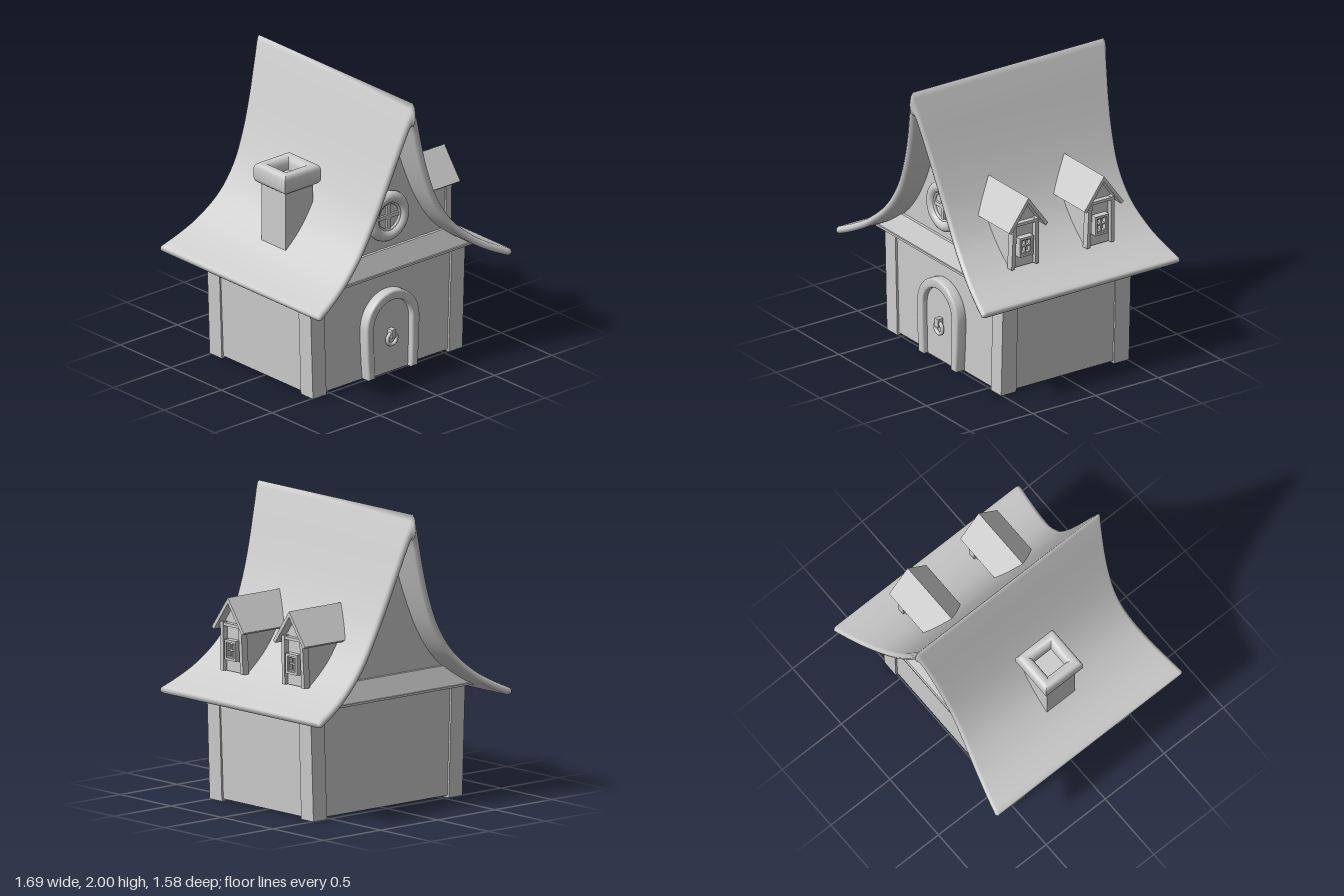
import * as THREE from 'three';
import { toCreasedNormals } from 'three/addons/utils/BufferGeometryUtils.js';

const material = new THREE.MeshStandardMaterial({ color: 0xcccccc, side: THREE.DoubleSide });

function add(parent, name, geometry, x = 0, y = 0, z = 0) {
  const mesh = new THREE.Mesh(geometry, material);
  mesh.name = name;
  mesh.position.set(x, y, z);
  parent.add(mesh);
  return mesh;
}
const box = (w, h, d) => new THREE.BoxGeometry(w, h, d);

// Box whose vertices are moved by a rule, keeping flat faces
function warpedBox(w, h, d, rule) {
  const g = box(w, h, d), p = g.attributes.position, v = new THREE.Vector3();
  for (let i = 0; i < p.count; i++) {
    v.fromBufferAttribute(p, i);
    rule(v);
    p.setXYZ(i, v.x, v.y, v.z);
  }
  g.computeVertexNormals();
  return g;
}
const extrude = (shape, depth, bevel = 0) => toCreasedNormals(new THREE.ExtrudeGeometry(shape, {
  depth, curveSegments: 24, bevelEnabled: bevel > 0, bevelSize: bevel, bevelOffset: -bevel,
  bevelThickness: bevel, bevelSegments: 3,
}), 0.6);
const polygon = (pts) => new THREE.Shape(pts.map(([x, y]) => new THREE.Vector2(x, y)));

// Half roof line from ridge to eave: x, y and half length in z
const roofCurve = new THREE.CatmullRomCurve3([
  [0, 2, 0.785], [0.06, 1.83, 0.757], [0.13, 1.62, 0.725], [0.21, 1.4, 0.7], [0.3, 1.2, 0.688],
  [0.42, 1.02, 0.7], [0.58, 0.875, 0.733], [0.72, 0.79, 0.765], [0.84, 0.733, 0.79],
].map((p) => new THREE.Vector3(...p)));
const THICK = 0.05, STEPS = 32;

function roofStations() {
  const half = [];
  for (let i = 0; i <= STEPS; i++) {
    const p = roofCurve.getPoint(i / STEPS), t = roofCurve.getTangent(i / STEPS);
    const len = Math.hypot(t.x, t.y), tx = t.x / len, ty = t.y / len;
    let ix = p.x + ty * THICK, iy = p.y - tx * THICK;
    if (ix <= 0) { ix = 0; iy = 1.835; }
    half.push({ x: p.x, y: p.y, ix, iy, z: p.z, s: 1 });
    if (i === STEPS) {
      // Rounded eave
      for (const [e, s] of [[0.01, 0.75], [0.015, 0.35]]) {
        half.push({ x: p.x + tx * e, y: p.y + ty * e, ix: ix + tx * e, iy: iy + ty * e, z: p.z - e * 0.5, s });
      }
    }
  }
  return half;
}

// Sweep a slab with rounded rims from one eave over the ridge to the other
function roofGeometry(half) {
  const left = half.slice(1).reverse().map((q) => ({ ...q, x: -q.x, ix: -q.ix }));
  const stations = [...left, ...half];
  const rim = [[0.025, 0], [0.008, 0.15], [0, 0.5], [0.008, 0.85], [0.025, 1]];
  const ring = [...rim.map(([r, w]) => [r, w, 1]), ...[...rim].reverse().map(([r, w]) => [r, w, -1])];
  // Start on the outer face at -z
  ring.unshift(ring.pop());
  const pos = [], index = [], n = ring.length;
  for (const q of stations) {
    for (const [r, w, side] of ring) {
      const k = 0.5 + (w - 0.5) * q.s;
      pos.push(q.x + (q.ix - q.x) * k, q.y + (q.iy - q.y) * k, side * (q.z - r));
    }
  }
  const last = (stations.length - 1) * n;
  for (let i = 0; i < stations.length - 1; i++) {
    for (let k = 0; k < n; k++) {
      const a = i * n + k, b = i * n + ((k + 1) % n);
      index.push(a, b, a + n, b, b + n, a + n);
    }
  }
  for (let k = 1; k < n - 1; k++) index.push(last, last + k, last + k + 1, 0, k + 1, k);
  const g = new THREE.BufferGeometry();
  g.setAttribute('position', new THREE.Float32BufferAttribute(pos, 3));
  g.setIndex(index);
  g.computeVertexNormals();
  return g;
}

function archPath(r, foot) {
  const s = new THREE.Shape();
  s.moveTo(-foot, 0.02);
  s.quadraticCurveTo(-r, 0.2, -r, 0.375);
  s.absarc(0, 0.375, r, Math.PI, 0, true);
  s.quadraticCurveTo(r, 0.2, foot, 0.02);
  return s;
}

function createDoor() {
  const door = new THREE.Group();
  door.name = 'door';
  const outer = archPath(0.23, 0.212).getPoints(24), inner = archPath(0.165, 0.157).getPoints(24);
  add(door, 'doorFrame', extrude(new THREE.Shape([...outer, ...inner.reverse()]), 0.056, 0.012), 0, 0, 0.502);
  add(door, 'doorPanel', extrude(archPath(0.17, 0.16), 0.05), 0, 0, 0.48);
  add(door, 'doorKnocker', new THREE.TorusGeometry(0.04, 0.013, 12, 32), 0, 0.26, 0.552);
  add(door, 'knockerMount', box(0.035, 0.06, 0.045), 0, 0.3, 0.55);
  return door;
}

function createRoundWindow() {
  const win = new THREE.Group();
  win.name = 'roundWindow';
  win.position.set(0, 1.12, 0.5);
  add(win, 'windowRing', new THREE.TorusGeometry(0.134, 0.04, 16, 48), 0, 0, 0.01);
  add(win, 'innerRing', new THREE.TorusGeometry(0.096, 0.01, 8, 48), 0, 0, 0.02);
  add(win, 'glass', new THREE.CylinderGeometry(0.11, 0.11, 0.01, 40).rotateX(Math.PI / 2), 0, 0, 0.004);
  add(win, 'verticalBar', box(0.026, 0.19, 0.025), 0, 0, 0.012);
  add(win, 'horizontalBar', box(0.19, 0.026, 0.025), 0, 0, 0.012);
  return win;
}

function createDormer(z) {
  const dormer = new THREE.Group();
  dormer.name = 'dormer';
  dormer.position.z = z;
  const alongX = (pts, depth) => extrude(polygon(pts), depth).rotateY(Math.PI / 2);
  add(dormer, 'dormerWalls', alongX([[-0.095, 0.87], [0.095, 0.87], [0.095, 1.22], [0, 1.345], [-0.095, 1.22]], 0.41), 0.2);
  add(dormer, 'dormerRoof', alongX(
    [[-0.157, 1.16], [0, 1.375], [0.157, 1.16], [0.137, 1.145], [0, 1.337], [-0.137, 1.145]], 0.475), 0.2);
  for (const s of [-1, 1]) {
    add(dormer, 'dormerPost', warpedBox(0.05, 0.33, 0.028, (v) => {
      if (v.y < 0) { v.z += s * 0.008; v.x -= 0.012; }
    }), 0.625, 1.035, s * 0.088);
    // Window casing and inner sash
    add(dormer, 'casingSide', box(0.05, 0.135, 0.016), 0.63, 1.02, s * 0.047);
    add(dormer, 'casingRail', box(0.05, 0.016, 0.11), 0.63, 1.02 + s * 0.06, 0);
    add(dormer, 'sashSide', box(0.03, 0.1, 0.008), 0.63, 1.02, s * 0.035);
    add(dormer, 'sashRail', box(0.03, 0.008, 0.08), 0.63, 1.02 + s * 0.046, 0);
  }
  add(dormer, 'dormerLintel', box(0.04, 0.02, 0.19), 0.625, 1.185, 0);
  add(dormer, 'mullion', box(0.03, 0.11, 0.01), 0.625, 1.02, 0);
  add(dormer, 'crossBar', box(0.03, 0.01, 0.08), 0.625, 1.02, 0);
  return dormer;
}

function createChimney() {
  const chimney = new THREE.Group();
  chimney.name = 'chimney';
  chimney.position.set(-0.425, 0, 0);
  add(chimney, 'chimneyStack', box(0.24, 0.47, 0.24), 0, 1.085, 0);
  // Square cap: rounded profile turned in four sides
  const profile = [[0, 1.36], [0.075, 1.36], [0.075, 1.405], [0.082, 1.43], [0.1, 1.446], [0.12, 1.45], [0.14, 1.445],
    [0.151, 1.434], [0.156, 1.415], [0.156, 1.345], [0.151, 1.326], [0.14, 1.314], [0.12, 1.31], [0, 1.31]]
    .reverse().map(([r, y]) => new THREE.Vector2(r * Math.SQRT2, y));
  add(chimney, 'chimneyCap', toCreasedNormals(new THREE.LatheGeometry(profile, 4, Math.PI / 4), 0.8));
  return chimney;
}

export function createModel() {
  const house = new THREE.Group();
  house.name = 'cottage';

  // Walls flare outward slightly toward the eaves
  add(house, 'walls', warpedBox(2, 0.735, 0.99, (v) => { v.x *= v.y > 0 ? 0.667 : 0.638; }), 0, 0.3825, 0);
  for (const sx of [-1, 1]) for (const sz of [-1, 1]) {
    add(house, 'cornerPost', warpedBox(0.118, 0.75, 0.12, (v) => { if (v.y > 0) v.x += sx * 0.025; }),
      sx * 0.593, 0.375, sz * 0.45);
  }

  // Roof and the gable that fills it
  const half = roofStations();
  add(house, 'roof', roofGeometry(half));
  const side = half.filter((q) => q.ix > 0 && q.iy > 0.752).map((q) => [q.ix + 0.005, q.iy]);
  const outline = [[0, 1.84], ...side, [0.69, 0.745], [-0.69, 0.745], ...side.map(([x, y]) => [-x, y]).reverse()];
  add(house, 'gable', extrude(polygon(outline), 0.99), 0, 0, -0.495);

  // Sloping ledge below each gable
  for (const s of [-1, 1]) {
    add(house, 'gableLedge', warpedBox(2, 0.13, 0.1, (v) => {
      const top = v.y > 0;
      v.x *= top ? 0.525 : 0.675;
      if (v.z * s > 0) v.z = s * (top ? 0.025 : 0.075);
    }), 0, 0.825, s * 0.49);
    add(house, 'ledgeLip', box(1.38, 0.015, 0.09), 0, 0.753, s * 0.53);
  }

  house.add(createDoor(), createRoundWindow(), createChimney(), createDormer(0.307), createDormer(-0.295));
  return house;
}
